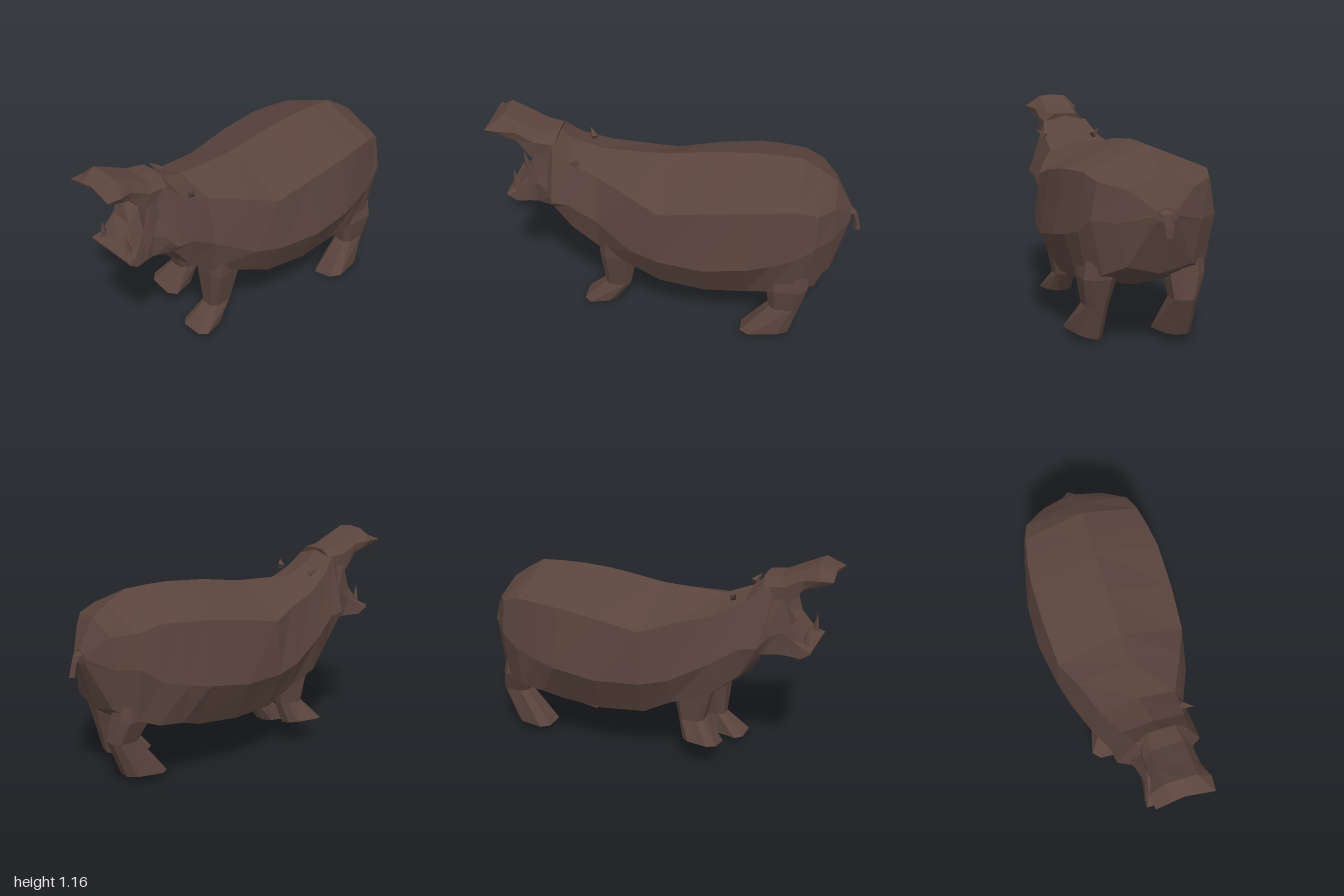
import * as THREE from 'three';

const hide = new THREE.MeshStandardMaterial({ color: 0x5a443d, flatShading: true });
hide.name = 'brown hide';

// Closed skin over a list of rings with equal point counts, turned to face outward
function loft(name, rings) {
  const n = rings[0].length, pts = rings.flat(), tris = [];
  for (let r = 0; r < rings.length - 1; r++) {
    for (let i = 0; i < n; i++) {
      const a = r * n + i, b = r * n + (i + 1) % n;
      tris.push([a, b, b + n], [a, b + n, a + n]);
    }
  }
  const last = (rings.length - 1) * n;
  for (let i = 1; i < n - 1; i++) tris.push([0, i + 1, i], [last, last + i, last + i + 1]);
  const v = pts.map((p) => new THREE.Vector3(...p));
  const centre = v.reduce((s, p) => s.add(p), new THREE.Vector3()).divideScalar(v.length);
  let volume = 0;
  for (const [a, b, c] of tris) {
    const p = v[a].clone().sub(centre);
    volume += p.dot(v[b].clone().sub(centre).cross(v[c].clone().sub(centre)));
  }
  const geo = new THREE.BufferGeometry();
  geo.setAttribute('position', new THREE.Float32BufferAttribute(pts.flat(), 3));
  geo.setIndex(tris.flatMap(([a, b, c]) => (volume < 0 ? [a, c, b] : [a, b, c])));
  const flat = geo.toNonIndexed();
  flat.computeVertexNormals();
  const mesh = new THREE.Mesh(flat, hide);
  mesh.name = name;
  return mesh;
}

// Ring across the body, mirrored about cx
function bodyRing([z, cx, top, ridgeX, ridgeY, wideX, wideY, lowX, lowY, bottom]) {
  const half = [[ridgeX, ridgeY], [wideX, wideY], [lowX, lowY]];
  return [
    [cx, top, z],
    ...half.map(([x, y]) => [cx + x, y, z]),
    [cx, bottom, z],
    ...half.reverse().map(([x, y]) => [cx - x, y, z]),
  ];
}

// Chamfered horizontal ring for legs; tilt raises it along x, taper narrows the heel
const LEG = [[-1, -0.6], [-0.5, -1], [0.5, -1], [1, -0.6], [1, 0.6], [0.55, 1], [-0.55, 1], [-1, 0.6]];
const legRing = ([x, y, z, w, d, tilt = 0, taper = 0]) => LEG.map(([u, v]) => {
  const dx = u * w * (1 + taper * (v - 0.6));
  return [x + dx, y + dx * tilt, z + v * d];
});

const HEAD_X = 0.03;

// Jaw ring: top centre, then upper, side and lower corners as half width,
// height and depth, then bottom centre
const jawRing = ([top, upper, side, lower, bottom]) => [
  [HEAD_X, ...top],
  ...[upper, side, lower].map(([x, y, z]) => [HEAD_X + x, y, z]),
  [HEAD_X, ...bottom],
  ...[lower, side, upper].map(([x, y, z]) => [HEAD_X - x, y, z]),
];

function spike(name, radius, height, position, tiltX, tiltZ) {
  const mesh = new THREE.Mesh(new THREE.ConeGeometry(radius, height, 4), hide);
  mesh.name = name;
  mesh.position.set(...position);
  mesh.rotation.set(tiltX, 0, tiltZ);
  return mesh;
}

export function createModel() {
  const model = new THREE.Group();
  model.name = 'hippopotamus';

  // Rump, haunches, barrel, shoulders, neck and cheeks
  model.add(loft('body', [
    [-0.94, 0, 0.70, 0.05, 0.68, 0.06, 0.66, 0.05, 0.64, 0.62],
    [-0.855, 0, 0.85, 0.17, 0.78, 0.215, 0.62, 0.17, 0.41, 0.37],
    [-0.77, 0, 0.91, 0.29, 0.81, 0.32, 0.63, 0.26, 0.36, 0.32],
    [-0.67, 0, 0.97, 0.32, 0.845, 0.35, 0.56, 0.315, 0.33, 0.29],
    [-0.54, 0, 0.978, 0.345, 0.845, 0.38, 0.53, 0.32, 0.32, 0.25],
    [-0.42, 0, 0.98, 0.36, 0.84, 0.405, 0.51, 0.29, 0.28, 0.225],
    [-0.19, 0, 0.965, 0.36, 0.81, 0.41, 0.48, 0.30, 0.27, 0.215],
    [0.05, 0, 0.93, 0.345, 0.765, 0.37, 0.48, 0.27, 0.28, 0.23],
    [0.2, 0, 0.925, 0.28, 0.81, 0.335, 0.51, 0.27, 0.36, 0.26],
    [0.4, -0.015, 0.92, 0.2, 0.86, 0.26, 0.61, 0.22, 0.42, 0.37],
    [0.55, 0.015, 0.975, 0.165, 0.93, 0.23, 0.70, 0.19, 0.54, 0.49],
    [0.64, 0.025, 1.055, 0.13, 1.015, 0.225, 0.71, 0.18, 0.66, 0.64],
    [0.69, 0.03, 1.03, 0.11, 0.99, 0.15, 0.76, 0.12, 0.67, 0.66],
  ].map(bodyRing)));

  // Raised upper jaw with a flared muzzle
  model.add(loft('upperJaw', [
    [[1.055, 0.62], [0.07, 1.05, 0.62], [0.12, 1.01, 0.63], [0.12, 0.9, 0.65], [0.86, 0.65]],
    [[1.06, 0.71], [0.085, 1.058, 0.71], [0.125, 1.02, 0.74], [0.12, 0.93, 0.768], [0.88, 0.72]],
    [[1.11, 0.82], [0.085, 1.11, 0.82], [0.125, 1.07, 0.84], [0.115, 1.02, 0.84], [1.015, 0.835]],
    [[1.157, 0.905], [0.08, 1.15, 0.905], [0.155, 1.085, 0.92], [0.13, 1.04, 0.89], [1.06, 0.89]],
    [[1.105, 0.98], [0.07, 1.1, 0.985], [0.15, 1.085, 0.995], [0.14, 1.07, 0.985], [1.09, 0.975]],
  ].map(jawRing)));

  // Lower jaw sloping from the back of the mouth to the lip
  model.add(loft('lowerJaw', [
    [[0.9, 0.63], [0.11, 0.98, 0.63], [0.19, 0.74, 0.63], [0.16, 0.65, 0.63], [0.65, 0.63]],
    [[0.87, 0.72], [0.12, 0.96, 0.745], [0.14, 0.78, 0.74], [0.13, 0.655, 0.74], [0.655, 0.74]],
    [[0.805, 0.785], [0.12, 0.82, 0.785], [0.13, 0.75, 0.79], [0.135, 0.655, 0.79], [0.655, 0.79]],
    [[0.735, 0.86], [0.13, 0.73, 0.86], [0.145, 0.71, 0.86], [0.15, 0.655, 0.85], [0.655, 0.85]],
    [[0.705, 0.905], [0.15, 0.705, 0.905], [0.153, 0.70, 0.905], [0.155, 0.69, 0.9], [0.69, 0.9]],
  ].map(jawRing)));

  // Tusks and ears
  for (const [side, s] of [['left', 1], ['right', -1]]) {
    model.add(spike(side + 'Tusk', 0.024, 0.12, [HEAD_X + s * 0.1, 0.765, 0.868], 0.12, s * 0.12));
    model.add(spike(side + 'Ear', 0.022, 0.07, [0.045 + s * 0.165, 0.95, 0.505 + s * 0.015], 0.7, s * -0.8));
  }

  // Legs, hip or shoulder down to the splayed foot
  const legs = {
    leftFrontLeg: [[0.145, 0.5, 0.28, 0.1, 0.12], [0.145, 0.37, 0.3, 0.095, 0.1],
      [0.14, 0.15, 0.31, 0.055, 0.07], [0.145, 0.04, 0.41, 0.095, 0.09, 0, 0.25]],
    rightFrontLeg: [[-0.14, 0.55, 0.28, 0.1, 0.12], [-0.14, 0.43, 0.29, 0.09, 0.11],
      [-0.15, 0.24, 0.285, 0.06, 0.07], [-0.18, 0.12, 0.35, 0.1, 0.1, -0.2, 0.25]],
    leftHindLeg: [[0.23, 0.42, -0.64, 0.09, 0.11], [0.25, 0.33, -0.64, 0.085, 0.11],
      [0.255, 0.19, -0.63, 0.056, 0.08], [0.27, 0.02, -0.53, 0.095, 0.13, 0.2, 0.3]],
    rightHindLeg: [[-0.17, 0.45, -0.73, 0.08, 0.09], [-0.165, 0.35, -0.75, 0.09, 0.09],
      [-0.145, 0.23, -0.79, 0.06, 0.075], [-0.145, 0.04, -0.675, 0.095, 0.11, 0, 0.25]],
  };
  for (const [name, rings] of Object.entries(legs)) model.add(loft(name, rings.map(legRing)));

  // Short hanging tail
  const tail = [[0.69, -0.92, 0.05, 0.02], [0.67, -0.955, 0.03, 0.018],
    [0.61, -0.975, 0.022, 0.014], [0.56, -0.98, 0.02, 0.02]];
  model.add(loft('tail', tail.map(([y, z, w, d]) =>
    [[-w, y, z], [0, y, z - d], [w, y, z], [0, y, z + d]])));

  return model;
}
